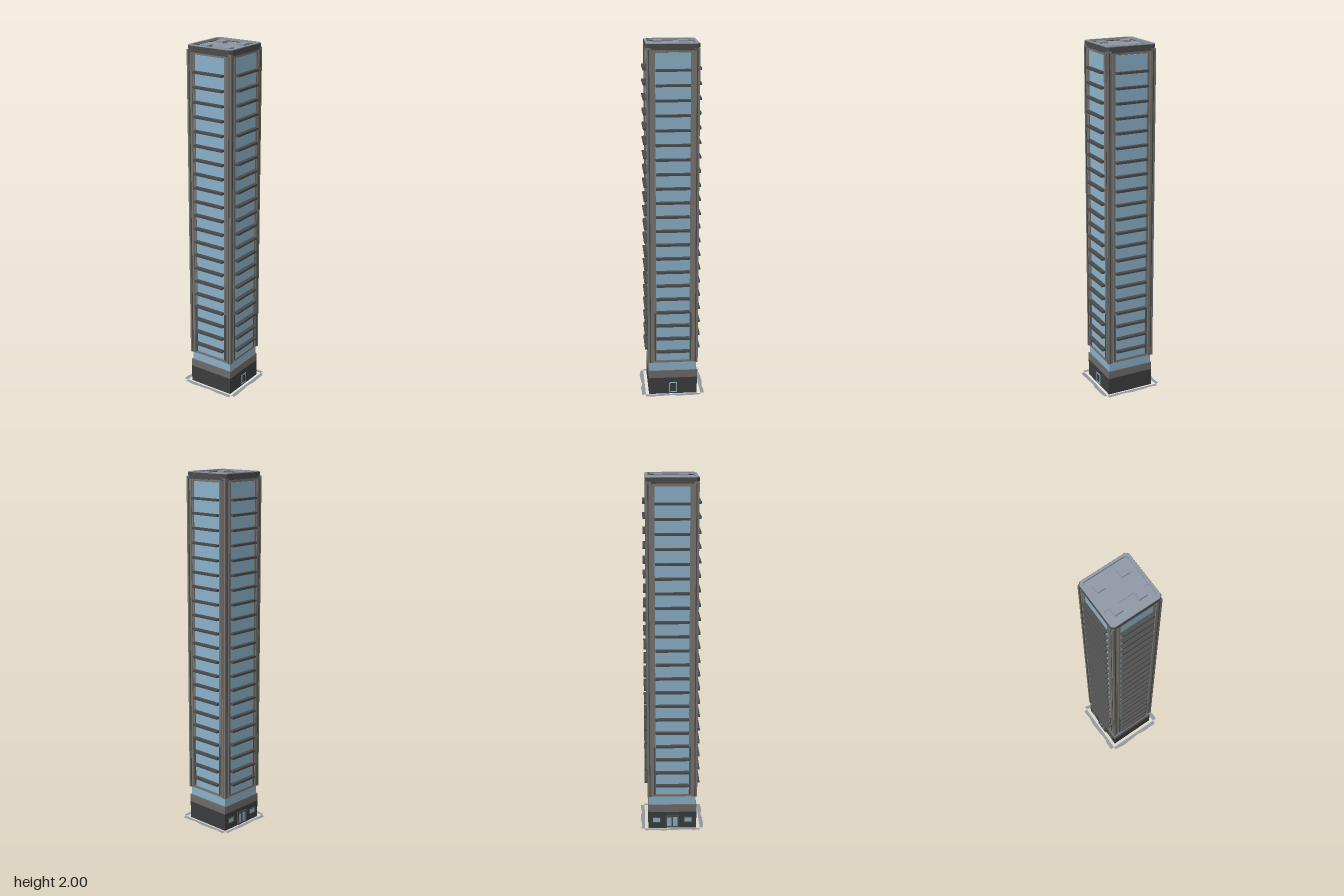
import * as THREE from 'three';

const mat = (color, extra = {}) => new THREE.MeshStandardMaterial({ color, ...extra });
const MAT = {
  frame: mat(0x77746f),
  trim: mat(0x4a4a4a),
  glass: mat(0x8ab0c8),
  base: mat(0x3a3c3e),
  band: mat(0x6c6b69),
  roof: mat(0x8d96a3),
  paving: mat(0x8d96a3, { side: THREE.DoubleSide }),
};

// Box given by its minimum and maximum on each axis
function box(parent, name, material, [x0, x1], [y0, y1], [z0, z1]) {
  const mesh = new THREE.Mesh(new THREE.BoxGeometry(x1 - x0, y1 - y0, z1 - z0), material);
  mesh.position.set((x0 + x1) / 2, (y0 + y1) / 2, (z0 + z1) / 2);
  mesh.name = name;
  parent.add(mesh);
  return mesh;
}

// Square outline with cut corners, half width h and cut c
function cutSquare(h, c) {
  return [[h - c, h], [h, h - c], [h, c - h], [h - c, -h], [c - h, -h], [-h, c - h], [-h, h - c], [c - h, h]]
    .map(([x, y]) => new THREE.Vector2(x, y));
}

// Upright ring between two cut squares
function ring(parent, name, material, outer, inner, cut, y0, y1) {
  const shape = new THREE.Shape(cutSquare(outer, cut));
  shape.holes.push(new THREE.Path(cutSquare(inner, cut).reverse()));
  const geo = new THREE.ExtrudeGeometry(shape, { depth: y1 - y0, bevelEnabled: false });
  geo.rotateX(-Math.PI / 2);
  const mesh = new THREE.Mesh(geo, material);
  mesh.position.y = y0;
  mesh.name = name;
  parent.add(mesh);
}

// Rectangular surround lying on a face, facing +z
function surround(parent, name, material, w, y0, y1, t, z0, z1) {
  for (const s of [-1, 1]) {
    const xs = s < 0 ? [-w, -w + t] : [w - t, w];
    box(parent, name, material, xs, [y0, y1], [z0, z1]);
  }
  box(parent, name, material, [-w + t, w - t], [y0, y0 + t], [z0, z1]);
  box(parent, name, material, [-w + t, w - t], [y1 - t, y1], [z0, z1]);
}

// One tower face: glass, frame and sun ledges
function towerFace() {
  const face = new THREE.Group();
  face.name = 'towerFace';
  box(face, 'glassWall', MAT.glass, [-0.094, 0.094], [0.21, 1.95], [0.125, 0.134]);
  surround(face, 'windowFrame', MAT.frame, 0.107, 0.197, 1.965, 0.013, 0.125, 0.139);
  for (let i = 0; i < 21; i++) {
    const y = 0.267 + i * 0.0797;
    box(face, 'ledge', MAT.trim, [-0.093, 0.093], [y - 0.006, y + 0.006], [0.13, 0.157]);
  }
  // darker lower jambs and edge fillets
  for (const s of [-1, 1]) {
    box(face, 'lowerJamb', MAT.trim, [s * 0.1 - 0.004, s * 0.1 + 0.004], [0.21, 0.5], [0.134, 0.141]);
    box(face, 'fillet', MAT.trim, [s * 0.128 - 0.003, s * 0.128 + 0.003], [0.197, 1.965], [0.134, 0.1425]);
  }
  return face;
}

// Flat paving strip with a wavy outer edge; out is the depth along +z
function pavingStrip(length, depth, phase) {
  const n = 16, shape = new THREE.Shape();
  shape.moveTo(-length / 2, 0);
  for (let i = 0; i <= n; i++) {
    const t = i / n;
    const wave = 0.003 * Math.sin(t * 11 + phase) + 0.0015 * Math.sin(t * 23 + phase * 2);
    shape.lineTo((t - 0.5) * length, -(depth + wave));
  }
  shape.lineTo(length / 2, 0);
  const mesh = new THREE.Mesh(new THREE.ShapeGeometry(shape).rotateX(-Math.PI / 2), MAT.paving);
  mesh.name = 'pavingStrip';
  return mesh;
}

export function createModel() {
  const model = new THREE.Group();
  model.name = 'towerBlock';
  const tower = new THREE.Group();
  tower.name = 'tower';
  tower.position.set(-0.007, 0, 0.0025);
  model.add(tower);

  // Plinth, grey band and lobby glazing
  const square = (name, material, h, y0, y1) => box(tower, name, material, [-h, h], [y0, y1], [-h, h]);
  square('plinth', MAT.base, 0.138, 0, 0.1);
  square('baseBand', MAT.band, 0.138, 0.1, 0.145);
  square('lobbyGlass', MAT.glass, 0.132, 0.145, 0.195);
  square('core', MAT.frame, 0.13, 0.195, 1.975);

  // Corner piers with a slimmer outer rib
  for (const sx of [-1, 1]) for (const sz of [-1, 1]) {
    const span = (s, a, b) => (s > 0 ? [a, b] : [-b, -a]);
    box(tower, 'cornerPier', MAT.frame, span(sx, 0.112, 0.139), [0.195, 1.975], span(sz, 0.112, 0.139));
    box(tower, 'cornerRib', MAT.frame, span(sx, 0.132, 0.142), [0.195, 1.975], span(sz, 0.132, 0.142));
  }

  // Four alike faces and the paving round the foot
  for (let i = 0; i < 4; i++) {
    const face = towerFace();
    face.rotation.y = i * Math.PI / 2;
    const strip = pavingStrip(0.313, 0.021, i * 1.7);
    strip.position.set(0, 0.006, 0.157);
    face.add(strip);
    tower.add(face);
  }

  // Parapet and roof
  ring(tower, 'cornice', MAT.trim, 0.139, 0.12, 0.008, 1.962, 1.978);
  ring(tower, 'parapet', MAT.trim, 0.143, 0.134, 0.014, 1.978, 1.996);
  ring(tower, 'parapetCap', MAT.roof, 0.141, 0.128, 0.014, 1.988, 2);
  square('roofDeck', MAT.roof, 0.13, 1.97, 1.984);
  box(tower, 'roofStrip', MAT.roof, [-0.046, 0.047], [1.98, 1.987], [-0.128, 0.128]);
  for (const x of [-0.069, 0.07]) for (const z of [-0.069, 0.069])
    box(tower, 'roofUnit', MAT.roof, [x - 0.024, x + 0.024], [1.98, 1.997], [z - 0.024, z + 0.024]);

  // Front door
  const front = new THREE.Group();
  front.name = 'frontDoor';
  surround(front, 'doorFrame', MAT.glass, 0.023, 0.008, 0.07, 0.005, 0.135, 0.141);
  box(front, 'doorLeaf', MAT.base, [-0.018, 0.018], [0.013, 0.065], [0.135, 0.139]);
  tower.add(front);

  // Back entrance with a window on each side
  const back = new THREE.Group();
  back.name = 'backEntrance';
  back.rotation.y = Math.PI;
  surround(back, 'entranceFrame', MAT.trim, 0.038, 0.004, 0.078, 0.008, 0.135, 0.146);
  box(back, 'entranceGlass', MAT.glass, [-0.03, 0.03], [0.012, 0.07], [0.135, 0.14]);
  box(back, 'entranceMullion', MAT.trim, [-0.004, 0.004], [0.012, 0.07], [0.135, 0.143]);
  for (const x of [-0.09, 0.09]) {
    const win = new THREE.Group();
    win.name = 'backWindow';
    win.position.x = x;
    surround(win, 'windowSurround', MAT.trim, 0.025, 0.034, 0.07, 0.005, 0.135, 0.143);
    box(win, 'windowPane', MAT.glass, [-0.02, 0.02], [0.039, 0.065], [0.135, 0.14]);
    back.add(win);
  }
  tower.add(back);
  return model;
}
